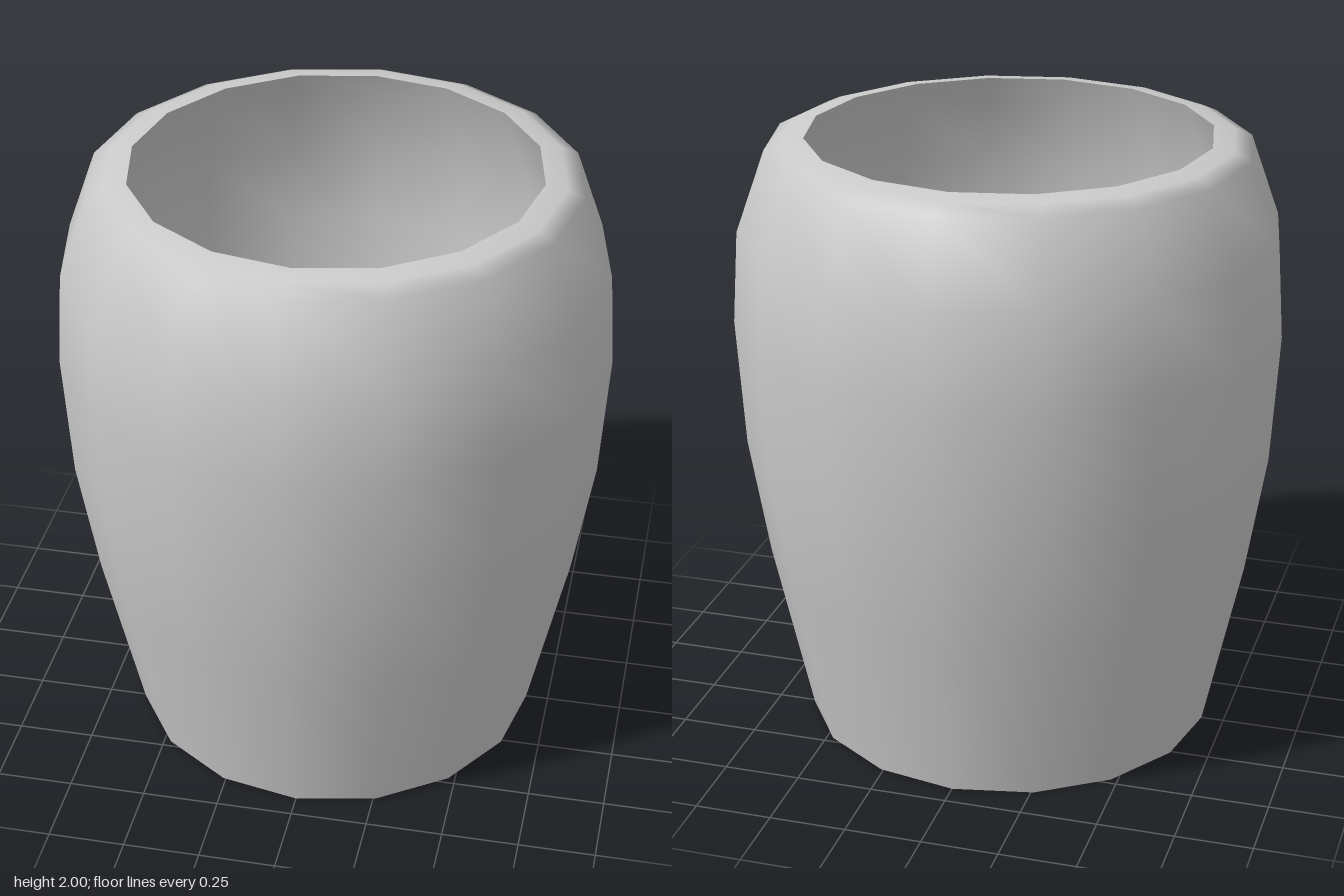
import * as THREE from 'three';

const SIDES = 16;

export function createModel() {
  const group = new THREE.Group();
  group.name = 'cup';
  const material = new THREE.MeshStandardMaterial({ color: 0xcccccc });

  // Each section is its own lathe, so edges between sections stay sharp
  const addLathe = (name, profile) => {
    const points = profile.map(([r, y]) => new THREE.Vector2(r, y));
    const mesh = new THREE.Mesh(new THREE.LatheGeometry(points, SIDES), material);
    mesh.name = name;
    group.add(mesh);
  };

  // Underside
  addLathe('base', [[0, 0], [0.675, 0]]);

  // Bulging outside, rounded over into the rim
  addLathe('outerWall', [
    [0.675, 0], [0.8, 0.58], [0.865, 0.98], [0.89, 1.4],
    [0.87, 1.7], [0.775, 1.965], [0.72, 1.99], [0.65, 2],
  ]);

  // Hollow inside, following the outer bulge
  addLathe('innerWall', [
    [0.65, 2], [0.685, 1.92], [0.77, 1.68], [0.785, 1.4],
    [0.76, 1], [0.695, 0.6], [0.59, 0.1],
  ]);

  // Inside bottom
  addLathe('floor', [[0.59, 0.1], [0, 0.1]]);

  return group;
}
